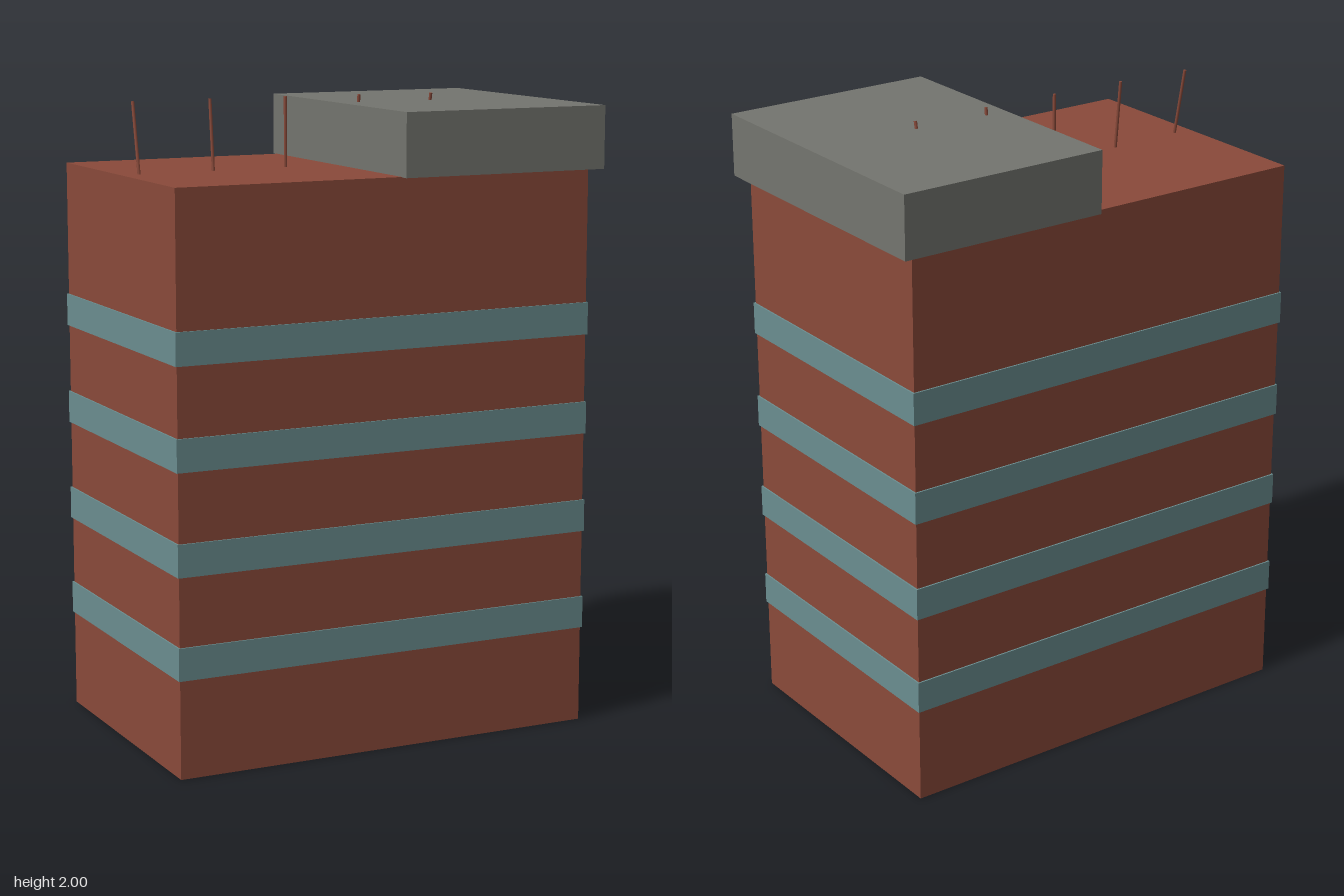
import * as THREE from 'three';

export function createModel() {
  const model = new THREE.Group();
  model.name = 'officeBlock';

  const material = (name, color) => {
    const m = new THREE.MeshStandardMaterial({ color });
    m.name = name;
    return m;
  };
  const brick = material('brick', 0x8a4a3a);
  const concrete = material('concrete', 0x74756f);
  const glass = material('glass', 0x6b8e90);

  const add = (name, geometry, mat, x, y, z = 0) => {
    const mesh = new THREE.Mesh(geometry, mat);
    mesh.name = name;
    mesh.position.set(x, y, z);
    model.add(mesh);
    return mesh;
  };

  // Main block
  add('building', new THREE.BoxGeometry(1.39, 1.78, 0.89), brick, -0.02, 0.89);

  // Window bands, one per floor, standing slightly proud of the walls
  const band = new THREE.BoxGeometry(1.4, 0.102, 0.9);
  for (let i = 0; i < 4; i++) add('windowBand' + (i + 1), band, glass, -0.02, 0.358 + i * 0.317);

  // Overhanging roof slab
  add('roofSlab', new THREE.BoxGeometry(0.693, 0.197, 0.946), concrete, 0.369, 1.877);

  // Row of thin rods, fanning progressively from back to front
  const rod = new THREE.CylinderGeometry(0.005, 0.005, 0.23, 6);
  for (let i = 0; i < 5; i++) {
    add('roofRod' + (i + 1), rod, brick, -0.655 + i * 0.25, 1.885).rotation.x = (i - 2) * 0.1;
  }

  return model;
}
